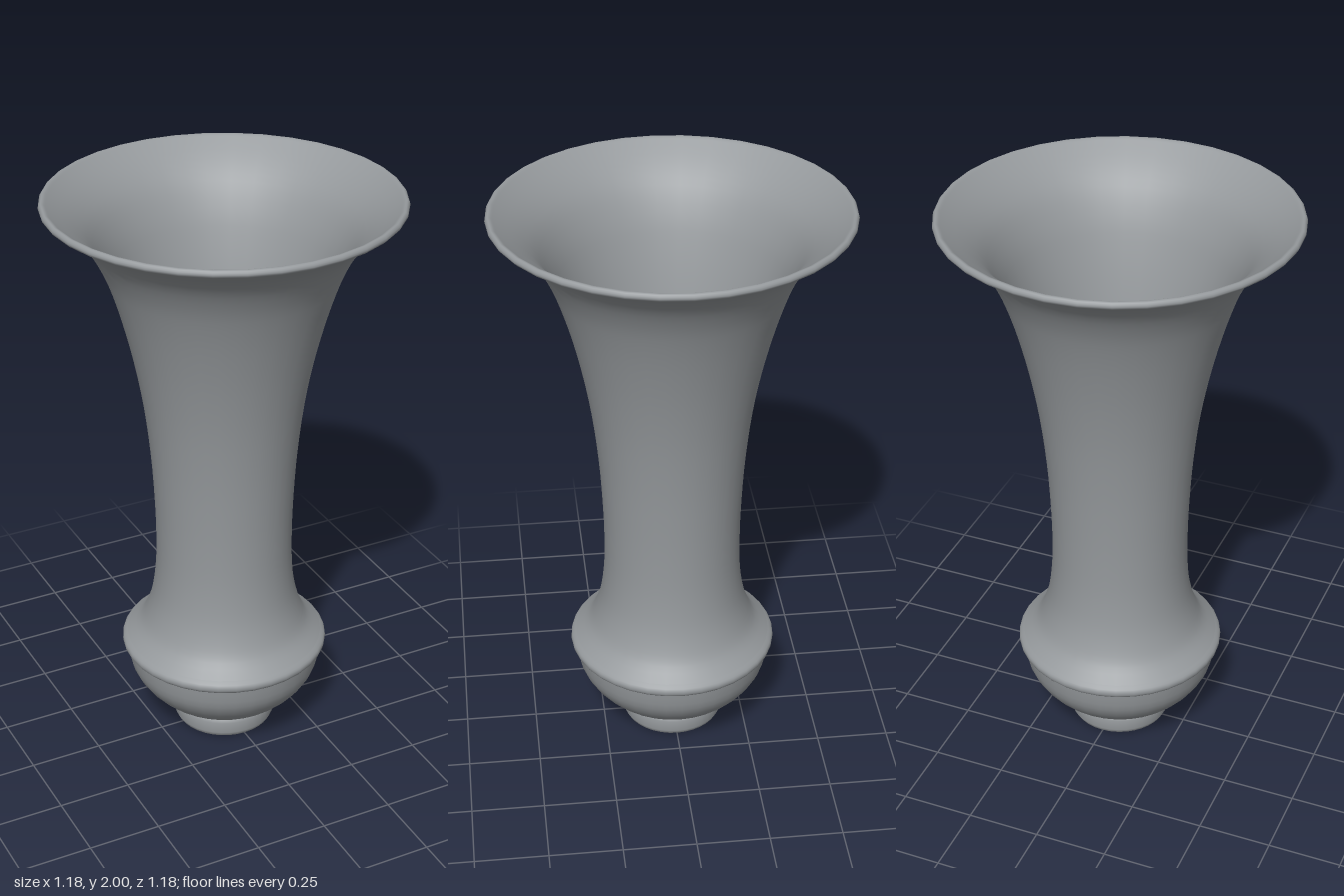
import * as THREE from 'three';

const SIDES = 36;

// Smooth curve through a few [radius, height] points
function smooth(points, steps) {
  const curve = new THREE.SplineCurve(points.map(([r, y]) => new THREE.Vector2(r, y)));
  return curve.getPoints(steps).map((p) => [p.x, p.y]);
}

export function createModel() {
  const group = new THREE.Group();
  const grey = new THREE.MeshStandardMaterial({ color: 0x95999c });
  grey.name = 'grey';

  // Profiles run upwards for outer faces and downwards for inner ones
  function turn(name, profile) {
    const points = profile.map(([r, y]) => new THREE.Vector2(r, y));
    const mesh = new THREE.Mesh(new THREE.LatheGeometry(points, SIDES), grey);
    mesh.name = name;
    group.add(mesh);
  }

  // Hollow foot ring and the underside within it
  turn('footRing', [
    [0.155, 0.075], [0.155, 0.012], [0.158, 0.003], [0.163, 0], [0.17, 0.006],
    [0.178, 0.022], [0.178, 0.062], [0.171, 0.077], [0.162, 0.081],
  ]);
  turn('underside', [[0, 0.075], [0.157, 0.075]]);

  // Rounded bowl under the collar
  turn('bowl', smooth([
    [0.155, 0.08], [0.2, 0.098], [0.25, 0.132], [0.3, 0.185], [0.332, 0.245], [0.344, 0.32],
  ], 14));

  // Collar: flat underside and rounded edge
  turn('collarUnderside', [[0.335, 0.32], [0.352, 0.32]]);
  turn('collarEdge', smooth([
    [0.352, 0.32], [0.359, 0.328], [0.361, 0.341], [0.356, 0.352], [0.343, 0.363],
  ], 8));

  // Flared trumpet body
  turn('body', smooth([
    [0.343, 0.363], [0.3, 0.405], [0.272, 0.46], [0.25, 0.54], [0.238, 0.65],
    [0.236, 0.78], [0.24, 0.92], [0.25, 1.08], [0.27, 1.26], [0.3, 1.43],
    [0.336, 1.58], [0.372, 1.7], [0.405, 1.785], [0.45, 1.865], [0.505, 1.924], [0.575, 1.972],
  ], 45));

  // Rolled lip
  turn('lip', smooth([
    [0.573, 1.971], [0.586, 1.976], [0.592, 1.986], [0.587, 1.997], [0.578, 2], [0.567, 1.993],
  ], 10));

  // Inner wall and flat floor
  turn('innerWall', smooth([
    [0.567, 1.993], [0.496, 1.938], [0.438, 1.876], [0.392, 1.793], [0.359, 1.705],
    [0.323, 1.584], [0.287, 1.433], [0.257, 1.263], [0.237, 1.08], [0.228, 0.92],
    [0.224, 0.78], [0.221, 0.62], [0.217, 0.46], [0.207, 0.425],
  ], 40));
  turn('floor', [[0.208, 0.425], [0, 0.425]]);

  return group;
}
